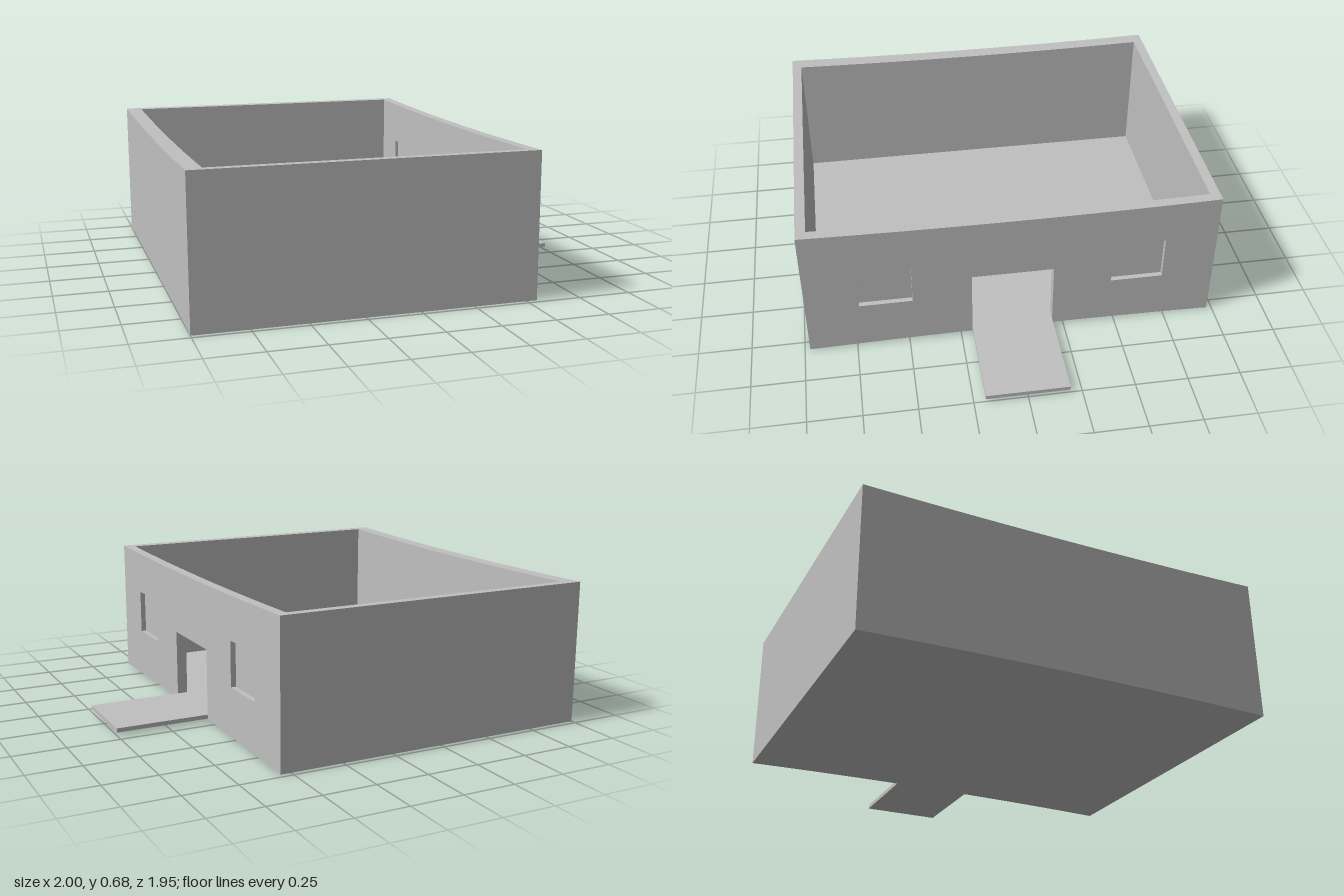
import * as THREE from 'three';

const HALF = 0.975;               // half length of the building along z
const FLOOR = 0.035;              // floor height
const bow = (z) => 0.013 * (1 - (z / HALF) ** 2);
const lower = (z) => bow(z);
const upper = (z) => 0.678 - bow(z);

// Side profile between two z positions; edges may be constants or curves
function profile(z0, z1, bottom, top, steps = 24) {
  const points = [];
  const at = (i) => z0 + ((z1 - z0) * i) / steps;
  for (let i = 0; i <= steps; i++) points.push(new THREE.Vector2(at(i), bottom(at(i))));
  for (let i = steps; i >= 0; i--) points.push(new THREE.Vector2(at(i), top(at(i))));
  return new THREE.Shape(points);
}

function rectHole(z0, z1, y0, y1) {
  return new THREE.Path([
    new THREE.Vector2(z0, y0), new THREE.Vector2(z0, y1),
    new THREE.Vector2(z1, y1), new THREE.Vector2(z1, y0),
  ]);
}

export function createModel() {
  const model = new THREE.Group();
  model.name = 'openBuilding';
  const grey = new THREE.MeshStandardMaterial({ color: 0xc0c0c0 });
  grey.name = 'light grey';

  // Extrude a profile along x; shape x becomes -z
  const slab = (name, shape, x0, x1) => {
    const geometry = new THREE.ExtrudeGeometry(shape, { depth: x1 - x0, bevelEnabled: false });
    geometry.rotateY(Math.PI / 2).translate(x0, 0, 0);
    const mesh = new THREE.Mesh(geometry, grey);
    mesh.name = name;
    model.add(mesh);
  };
  const box = (name, x0, x1, y0, y1, z0, z1) => {
    const mesh = new THREE.Mesh(new THREE.BoxGeometry(x1 - x0, y1 - y0, z1 - z0), grey);
    mesh.position.set((x0 + x1) / 2, (y0 + y1) / 2, (z0 + z1) / 2);
    mesh.name = name;
    model.add(mesh);
  };

  // Plain long wall, end walls and floor
  slab('plainWall', profile(-HALF, HALF, lower, upper), -1, -0.925);
  slab('backWall', profile(0.928, HALF, lower, upper, 2), -0.925, 0.5);
  slab('frontWall', profile(-HALF, -0.928, lower, upper, 2), -0.925, 0.5);
  slab('floor', profile(-0.928, 0.928, lower, () => FLOOR), -0.925, 0.5);

  // Entrance wall with a doorway and two window recesses
  const entrance = profile(-HALF, HALF, lower, upper);
  entrance.holes.push(rectHole(-0.195, 0.195, FLOOR, 0.355));
  for (const side of [-1, 1]) {
    const a = side * 0.6 - 0.125, b = side * 0.6 + 0.125;
    entrance.holes.push(rectHole(a, b, 0.245, 0.462));
    box(side > 0 ? 'leftPane' : 'rightPane', 0.515, 0.525, 0.245, 0.462, a, b);
  }
  slab('entranceWall', entrance, 0.5, 0.55);

  // Landing outside the door
  box('landing', 0.55, 1, 0.015, FLOOR, -0.195, 0.195);
  return model;
}
